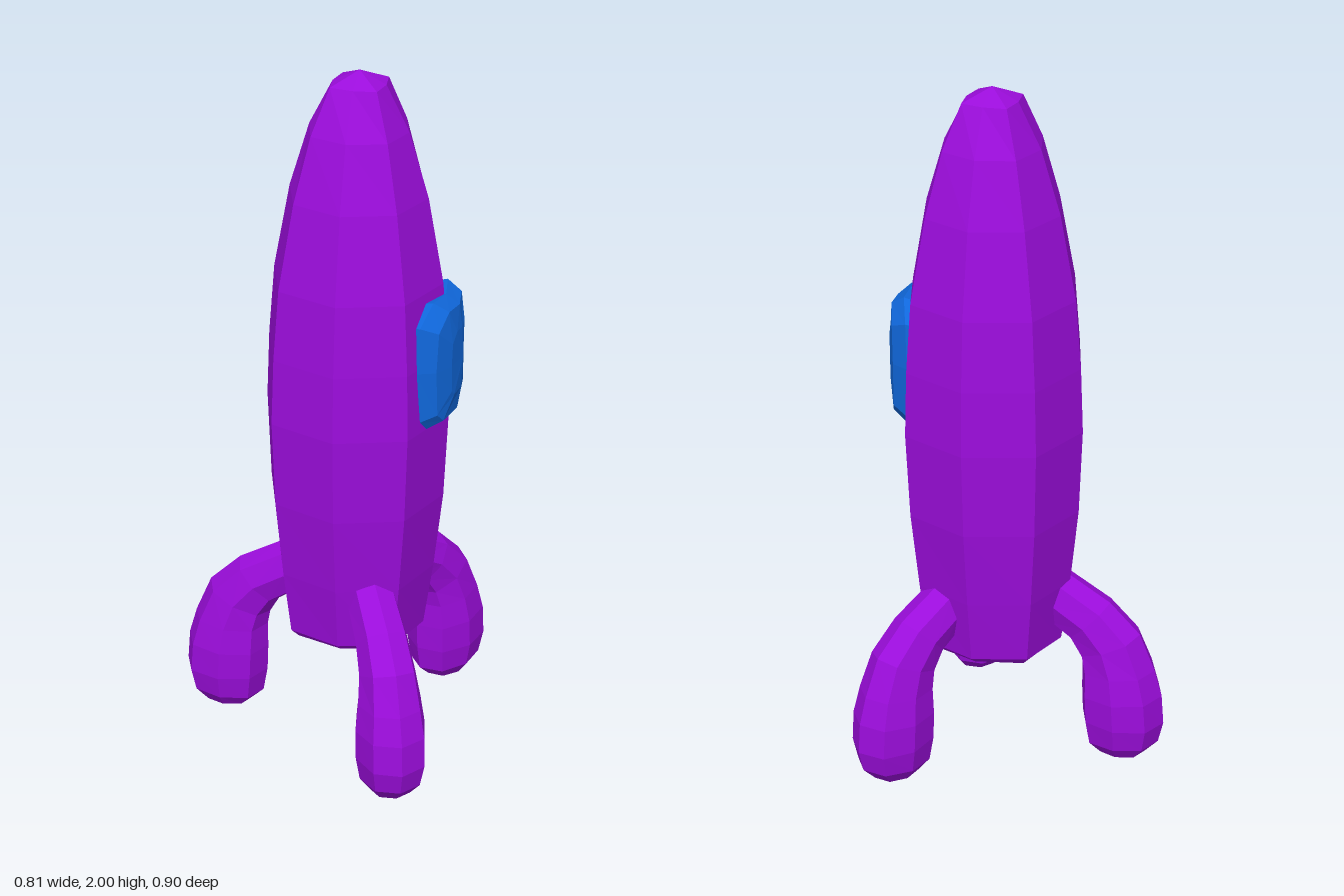
import * as THREE from 'three';

const purple = new THREE.MeshStandardMaterial({ color: 0x9b0ddb, flatShading: true });
const blue = new THREE.MeshStandardMaterial({ color: 0x1068dc, flatShading: true });
const v = (x, y, z) => new THREE.Vector3(x, y, z);

// Closed skin over a list of rings, fanned to a pole point at each end.
function loft(start, rings, end) {
  const n = rings[0].length;
  const pts = [start, ...rings.flat(), end];
  const last = pts.length - 1;
  const at = (r, i) => 1 + r * n + (i % n);
  let faces = [];
  for (let i = 0; i < n; i++) {
    faces.push([0, at(0, i + 1), at(0, i)]);
    for (let r = 0; r < rings.length - 1; r++) {
      const [a, b, c, d] = [at(r, i), at(r, i + 1), at(r + 1, i + 1), at(r + 1, i)];
      faces.push([a, b, c], [a, c, d]);
    }
    faces.push([last, at(rings.length - 1, i), at(rings.length - 1, i + 1)]);
  }
  // turn the faces outward if the enclosed volume is negative
  const volume = faces.reduce((s, [a, b, c]) =>
    s + pts[a].clone().sub(start).dot(pts[b].clone().sub(start).cross(pts[c].clone().sub(start))), 0);
  if (volume < 0) faces = faces.map(([a, b, c]) => [a, c, b]);
  const geo = new THREE.BufferGeometry().setFromPoints(pts);
  geo.setIndex(faces.flat());
  geo.computeVertexNormals();
  return geo;
}

// Eight-sided ring as [cos, sin] pairs, with its own reach on the diagonals.
function octagon(diagonal) {
  return Array.from({ length: 8 }, (_, i) => {
    const a = (i * Math.PI) / 4;
    const k = i % 2 ? diagonal * Math.SQRT2 : 1;
    return [Math.cos(a) * k, Math.sin(a) * k];
  });
}

function hull() {
  // radius, height, diagonal reach
  const profile = [
    [0.17, 0.335, 0.78], [0.2, 0.36, 0.75], [0.226, 0.55, 0.74], [0.25, 0.78, 0.735],
    [0.26, 1.03, 0.735], [0.253, 1.22, 0.735], [0.237, 1.42, 0.735], [0.192, 1.66, 0.735],
    [0.137, 1.84, 0.76], [0.073, 1.965, 0.87],
  ];
  const rings = profile.map(([r, y, d]) => octagon(d).map(([c, s]) => v(c * r, y, s * r)));
  const mesh = new THREE.Mesh(loft(v(0, 0.335, 0), rings, v(0, 2, 0)), purple);
  mesh.position.set(0.1, 0, -0.01);
  mesh.name = 'hull';
  return mesh;
}

function legGeometry() {
  // outer reach and height, inner reach and height, half width
  const sections = [
    [0.455, 0.022, 0.315, 0.02, 0.06], [0.495, 0.065, 0.278, 0.055, 0.088],
    [0.51, 0.13, 0.265, 0.13, 0.1], [0.503, 0.22, 0.262, 0.21, 0.1],
    [0.48, 0.3, 0.263, 0.285, 0.09], [0.434, 0.41, 0.255, 0.328, 0.08],
    [0.344, 0.497, 0.228, 0.376, 0.074], [0.205, 0.575, 0.185, 0.405, 0.07],
    [0.12, 0.6, 0.12, 0.43, 0.07],
  ];
  const rings = sections.map(([ox, oy, ix, iy, w]) => octagon(0.73).map(([c, s]) =>
    v((ox + ix) / 2 + (c * (ox - ix)) / 2, (oy + iy) / 2 + (c * (oy - iy)) / 2, s * w)));
  return loft(v(0.385, 0, 0), rings, v(0.1, 0.52, 0));
}

function porthole() {
  // half outline as sideways offset and height about the middle
  const half = [[0, 0.18], [0.085, 0.187], [0.135, 0.13], [0.143, 0], [0.135, -0.15], [0.105, -0.18], [0, -0.18]];
  const outline = [...half, ...half.slice(1, -1).reverse().map(([z, y]) => [-z, y])];
  // scale and depth of each layer, wrapped back around the hull
  const rings = [[0.9, 0.26], [1, 0.345], [0.86, 0.383], [0.5, 0.392]].map(([k, x]) =>
    outline.map(([z, y]) => v(x - 2.1 * (z * k) ** 2, y * k, z * k)));
  const mesh = new THREE.Mesh(loft(v(0.26, 0, 0), rings, v(0.396, 0, 0)), blue);
  mesh.position.set(0, 1.21, -0.01);
  mesh.name = 'porthole';
  return mesh;
}

export function createModel() {
  const model = new THREE.Group();
  model.name = 'rocket';
  model.add(hull(), porthole());

  // three legs evenly spaced around the hull
  const geo = legGeometry();
  ['frontLeg', 'rightLeg', 'backLeg'].forEach((name, i) => {
    const leg = new THREE.Mesh(geo, purple);
    leg.name = name;
    leg.position.x = 0.1;
    leg.rotation.y = -Math.PI / 3 - (i * 2 * Math.PI) / 3;
    model.add(leg);
  });
  return model;
}
